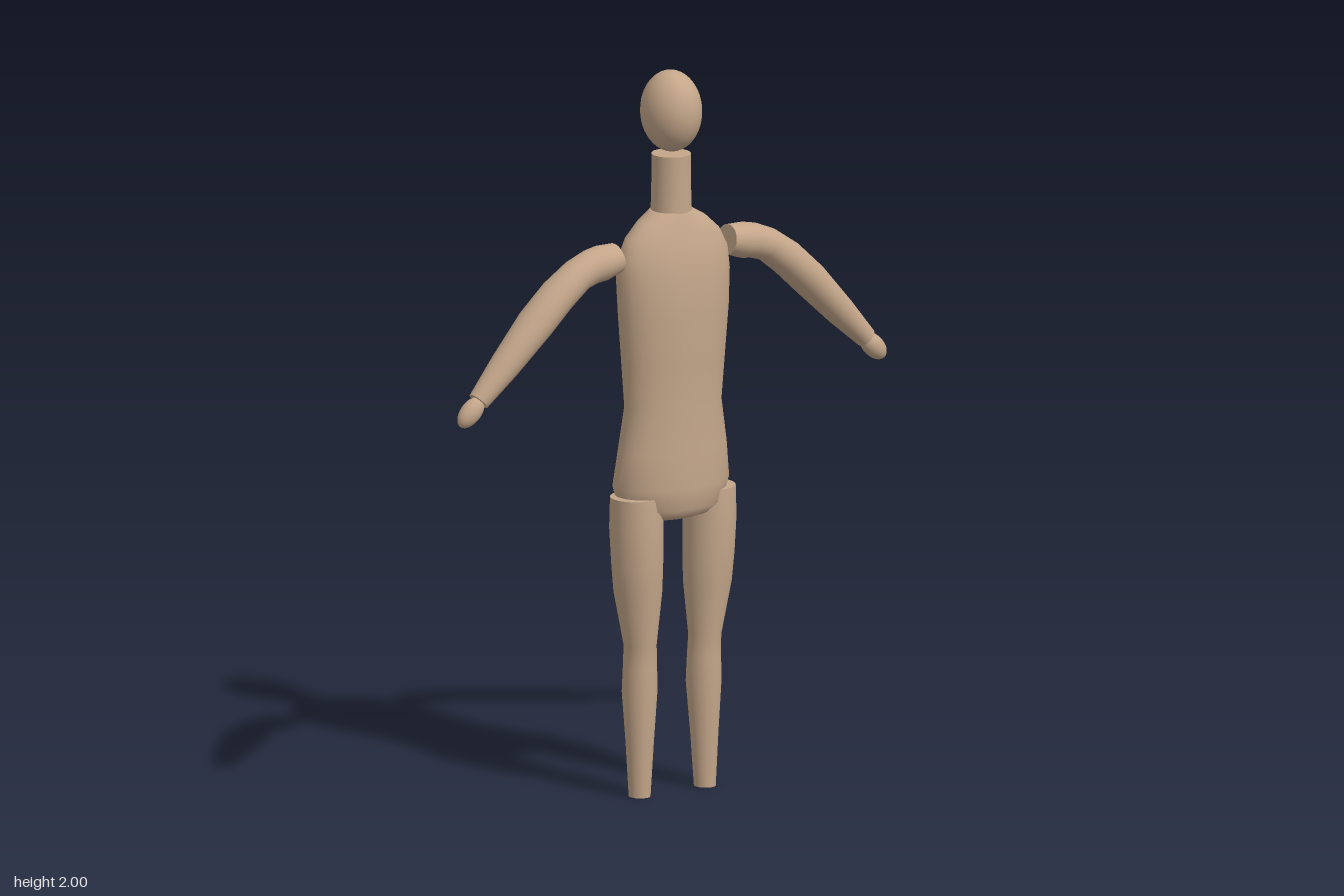
import * as THREE from 'three';
import { mergeVertices } from 'three/addons/utils/BufferGeometryUtils.js';

const skin = new THREE.MeshStandardMaterial({ color: 0xc4a68a, roughness: 0.8 });
const SEG = 32;

// Lofts elliptical sections [x, y, z, radius across, radius in z], with crisp flat end caps.
// "level" keeps every section horizontal; otherwise sections follow the limb in the xy plane.
function loft(sections, level) {
  const pos = [], index = [];
  const last = sections.length - 1;
  const ring = (i) => {
    const [x, y, z, ra, rz] = sections[i];
    const p = sections[Math.max(i - 1, 0)], n = sections[Math.min(i + 1, last)];
    const t = level ? new THREE.Vector2(0, 1) : new THREE.Vector2(n[0] - p[0], n[1] - p[1]).normalize();
    const start = pos.length / 3;
    for (let j = 0; j < SEG; j++) {
      const a = (j / SEG) * Math.PI * 2, c = Math.cos(a) * ra;
      pos.push(x + t.y * c, y - t.x * c, z + Math.sin(a) * rz);
    }
    return start;
  };
  const starts = sections.map((_, i) => ring(i));
  for (let i = 0; i < last; i++) {
    for (let j = 0; j < SEG; j++) {
      const k = (j + 1) % SEG, lo = starts[i], hi = starts[i + 1];
      index.push(lo + j, hi + j, lo + k, hi + j, hi + k, lo + k);
    }
  }
  // end caps on their own rings
  for (const i of [0, last]) {
    const s = ring(i), centre = pos.length / 3;
    pos.push(...sections[i].slice(0, 3));
    for (let j = 0; j < SEG; j++) {
      const k = (j + 1) % SEG;
      if (i === 0) index.push(centre, s + j, s + k);
      else index.push(centre, s + k, s + j);
    }
  }
  const geo = new THREE.BufferGeometry();
  geo.setAttribute('position', new THREE.Float32BufferAttribute(pos, 3));
  geo.setIndex(index);
  geo.computeVertexNormals();
  return geo;
}

function ellipsoid(rx, ry, rz) {
  return mergeVertices(new THREE.SphereGeometry(1, 32, 24).scale(rx, ry, rz));
}

export function createModel() {
  const model = new THREE.Group();
  const add = (name, geo) => {
    const mesh = new THREE.Mesh(geo, skin);
    mesh.name = name;
    model.add(mesh);
    return mesh;
  };

  // head and neck
  add('head', ellipsoid(0.08, 0.112, 0.092)).position.set(0, 1.888, 0.002);
  add('neck', loft([
    [0, 1.61, 0.002, 0.055, 0.057],
    [0, 1.69, 0.002, 0.053, 0.055],
    [0, 1.77, 0.002, 0.053, 0.055],
  ], true));

  // torso, from hips to shoulders
  add('torso', loft([
    [0, 0.765, -0.015, 0.1, 0.07],
    [0, 0.775, -0.008, 0.125, 0.09],
    [0, 0.8, -0.003, 0.155, 0.107],
    [0, 0.86, 0.0, 0.177, 0.106],
    [0, 0.96, 0.007, 0.165, 0.099],
    [0, 1.08, 0.01, 0.147, 0.09],
    [0, 1.2, 0.011, 0.157, 0.094],
    [0, 1.34, 0.012, 0.169, 0.098],
    [0, 1.44, 0.01, 0.175, 0.095],
    [0, 1.5, 0.01, 0.17, 0.085],
    [0, 1.55, 0.007, 0.146, 0.075],
    [0, 1.59, 0.004, 0.103, 0.064],
    [0, 1.615, 0.002, 0.06, 0.056],
  ], true));

  // limbs, one set per side
  for (const [side, s] of [['left', 1], ['right', -1]]) {
    const mirror = (rows) => rows.map(([x, ...rest]) => [s * x, ...rest]);

    add(side + 'Leg', loft(mirror([
      [0.107, 0, 0.007, 0.029, 0.031],
      [0.106, 0.15, 0.006, 0.038, 0.039],
      [0.105, 0.29, 0.004, 0.048, 0.049],
      [0.105, 0.36, 0.006, 0.046, 0.047],
      [0.106, 0.42, 0.008, 0.044, 0.046],
      [0.114, 0.57, 0.009, 0.066, 0.066],
      [0.117, 0.65, 0.01, 0.07, 0.071],
      [0.12, 0.75, 0.01, 0.072, 0.076],
      [0.12, 0.835, 0.01, 0.071, 0.071],
    ]), true));

    add(side + 'Arm', loft(mirror([
      [0.182, 1.505, 0.004, 0.041, 0.045],
      [0.23, 1.497, 0.004, 0.049, 0.05],
      [0.265, 1.491, 0.004, 0.048, 0.047],
      [0.31, 1.475, 0.006, 0.046, 0.049],
      [0.375, 1.428, 0.006, 0.049, 0.053],
      [0.45, 1.358, 0.006, 0.049, 0.055],
      [0.55, 1.256, 0.006, 0.041, 0.043],
      [0.635, 1.17, 0.006, 0.029, 0.03],
    ]), false));

    const hand = add(side + 'Hand', ellipsoid(0.05, 0.029, 0.027));
    hand.position.set(s * 0.66, 1.143, 0.006);
    hand.rotation.z = -s * 0.78;
  }
  return model;
}
